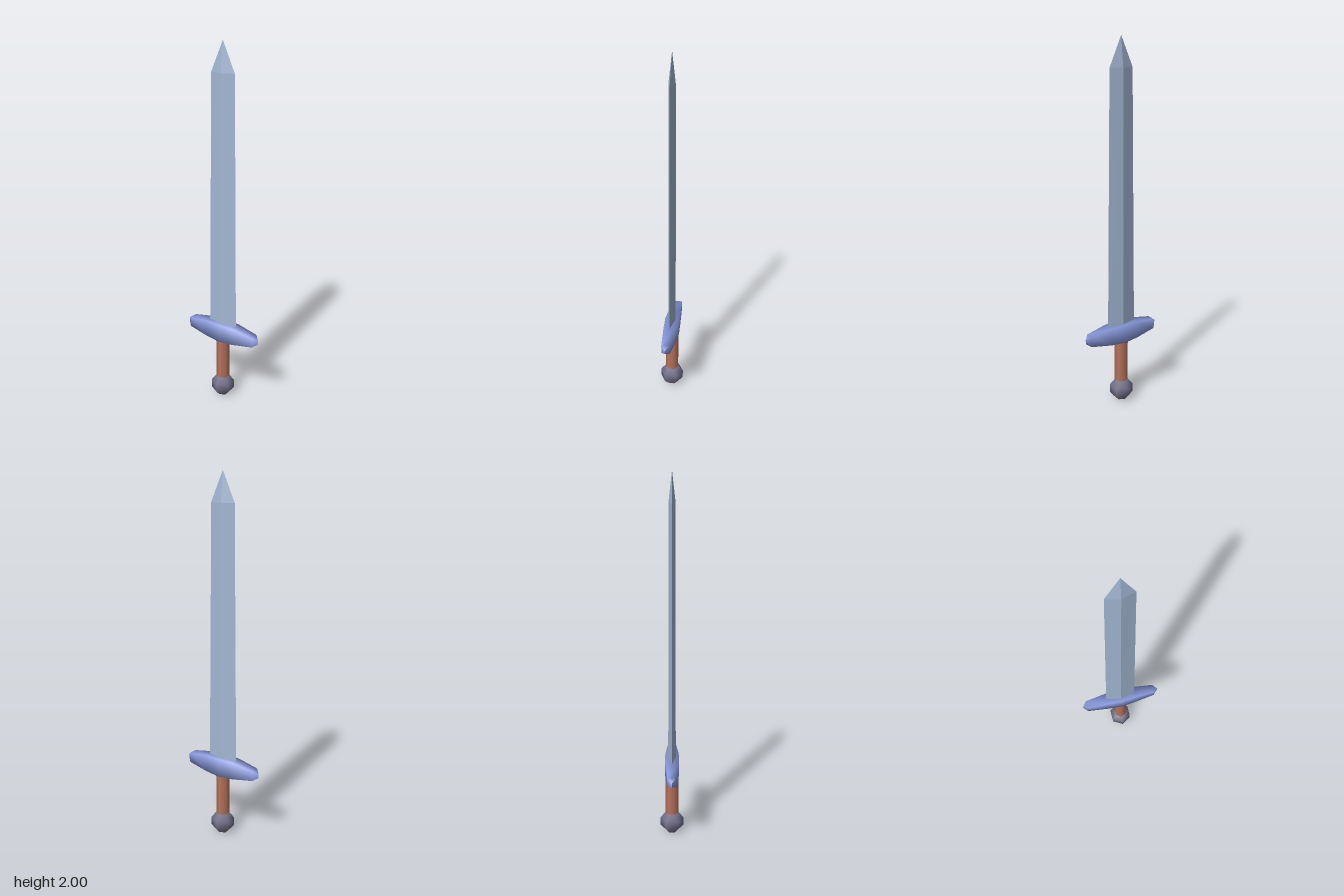
import * as THREE from 'three';

// Skins a row of equally sized closed rings, ordered counterclockwise about their axis.
function loft(rings) {
  const n = rings[0].length;
  const index = [];
  for (let i = 0; i < rings.length - 1; i++) {
    for (let j = 0; j < n; j++) {
      const a = i * n + j, b = i * n + (j + 1) % n;
      index.push(a, b, b + n, a, b + n, a + n);
    }
  }
  const geometry = new THREE.BufferGeometry();
  geometry.setAttribute('position', new THREE.Float32BufferAttribute(rings.flat(2), 3));
  geometry.setIndex(index);
  geometry.computeVertexNormals();
  return geometry;
}

export function createModel() {
  const model = new THREE.Group();
  model.name = 'sword';

  function add(name, geometry, color, flatShading = false) {
    const material = new THREE.MeshStandardMaterial({ color, flatShading });
    const mesh = new THREE.Mesh(geometry, material);
    mesh.name = name;
    model.add(mesh);
    return mesh;
  }

  // Blade: diamond section tapering to a point (y, half width, half thickness)
  const bladeRings = [
    [0.42, 0.088, 0.021],
    [1.845, 0.07, 0.018],
    [2, 0, 0],
  ].map(([y, w, t]) => [[w, y, 0], [0, y, -t], [-w, y, 0], [0, y, t]]);
  add('blade', loft(bladeRings), 0xa3b7d3, true);

  // Crossguard: rectangular section narrowing to wedge ends (x, bottom, top, half depth)
  const half = [
    [0, 0.36, 0.466, 0.04],
    [0.085, 0.366, 0.464, 0.034],
    [0.208, 0.387, 0.443, 0.024],
    [0.233, 0.402, 0.425, 0],
  ];
  const sections = [
    ...half.slice(1).reverse().map(([x, ...rest]) => [-x, ...rest]),
    ...half,
  ];
  const guardRings = sections.map(([x, lo, hi, d]) =>
    [[x, hi, d], [x, lo, d], [x, lo, -d], [x, hi, -d]]);
  add('crossguard', loft(guardRings), 0x8c9ce0);

  // Grip: six-sided, flaring sideways where it meets the guard
  const grip = new THREE.CylinderGeometry(0.037, 0.037, 0.28, 6, 7, true);
  grip.translate(0, 0.24, 0);
  const p = grip.attributes.position;
  for (let i = 0; i < p.count; i++) {
    if (p.getY(i) > 0.35) p.setX(i, p.getX(i) * 1.32);
  }
  add('grip', grip, 0xb8745d);

  // Pommel: six-sided ball with flat ends
  const pommelProfile = [
    [0, 0], [0.034, 0.004], [0.065, 0.038], [0.065, 0.086], [0.037, 0.12], [0, 0.12],
  ].map(([r, y]) => new THREE.Vector2(r, y));
  add('pommel', new THREE.LatheGeometry(pommelProfile, 6), 0x747188);

  return model;
}
